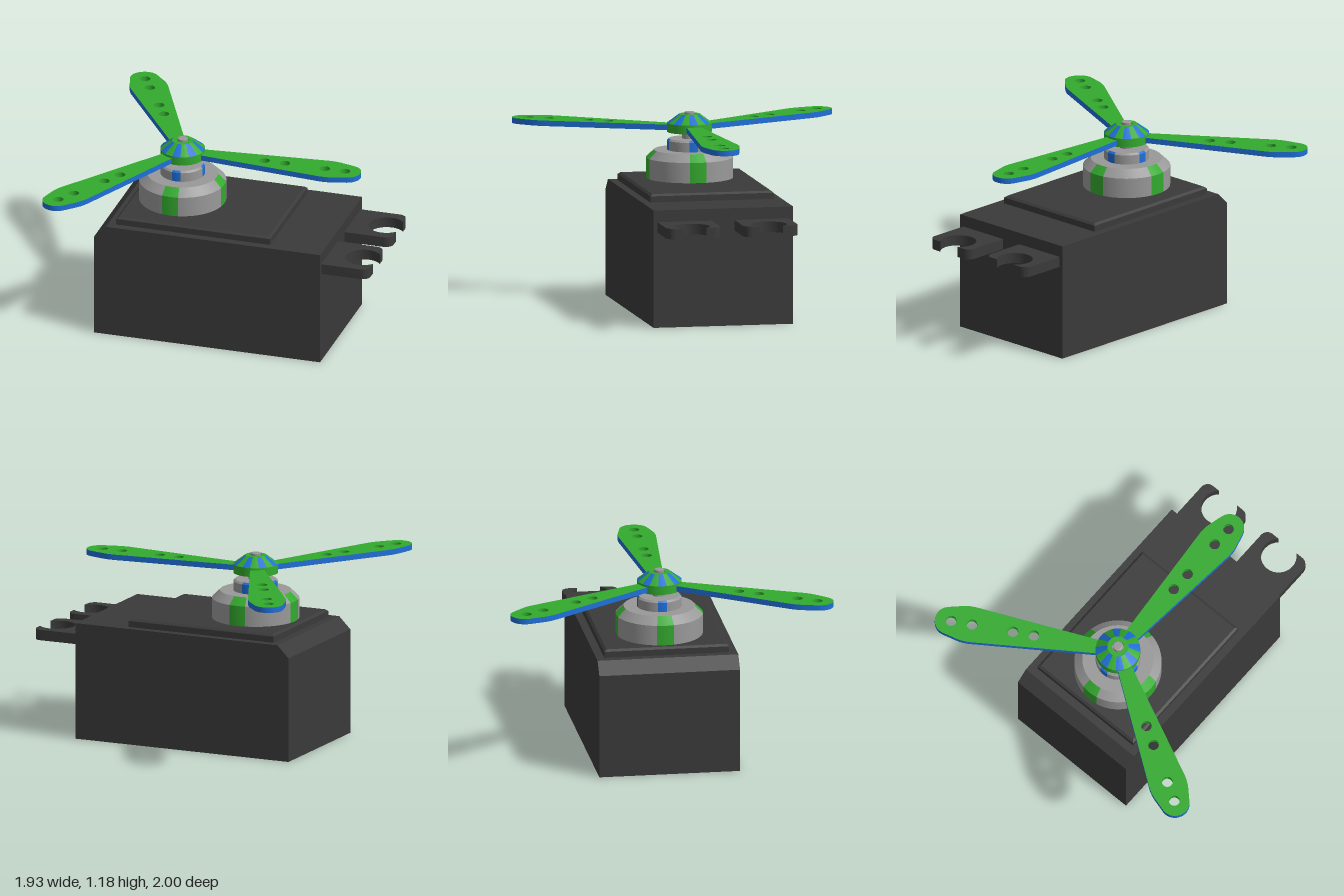
import * as THREE from 'three';
import { toCreasedNormals } from 'three/addons/utils/BufferGeometryUtils.js';

const BODY = 0x3a3a3a, METAL = 0x999999, GREEN = 0x33aa2e, BLUE = 0x1f6fd8;
const AXIS_X = -0.353;
const STEP = Math.PI / 8; // width of one coloured wedge

function add(parent, name, geometry, color) {
  const mesh = new THREE.Mesh(geometry, new THREE.MeshStandardMaterial({ color }));
  mesh.name = name;
  parent.add(mesh);
  return mesh;
}

// Turned part (or a wedge of one) from [radius, height] pairs, bottom to top
function turned(profile, start = 0, length = Math.PI * 2) {
  const segments = Math.max(4, Math.round(length / STEP * 4));
  const points = profile.map(([r, y]) => new THREE.Vector2(r, y));
  return toCreasedNormals(new THREE.LatheGeometry(points, segments, start, length), 0.4);
}

// Flat shape lying in the xz plane, extruded upwards from y = 0
function slab(shape, depth, options = {}) {
  const geometry = new THREE.ExtrudeGeometry(shape, { depth, bevelEnabled: false, curveSegments: 12, ...options });
  return geometry.rotateX(-Math.PI / 2);
}

// Unindexed triangles of a geometry between the given vertex ranges
function pick(geometry, ...ranges) {
  const source = geometry.attributes.position.array;
  const values = ranges.flatMap(([a, b]) => Array.from(source.subarray(a * 3, b * 3)));
  const result = new THREE.BufferGeometry();
  result.setAttribute('position', new THREE.Float32BufferAttribute(values, 3));
  result.computeVertexNormals();
  return toCreasedNormals(result, 0.4);
}

function polygon(points) {
  return new THREE.Shape(points.map(([x, y]) => new THREE.Vector2(x, y)));
}

function addHousing(model) {
  // Case with one chamfered top edge
  const side = polygon([[-0.785, 0], [0.66, 0], [0.66, 0.725], [-0.71, 0.725], [-0.785, 0.65]]);
  const box = new THREE.ExtrudeGeometry(side, { depth: 0.87, bevelEnabled: false });
  add(model, 'case', box.translate(0, 0, -0.435), BODY);

  // Raised lid with a small bevel
  const lid = polygon([[-0.645, -0.37], [0.31, -0.37], [0.31, 0.37], [-0.645, 0.37]]);
  const bevel = { bevelEnabled: true, bevelSize: 0.015, bevelThickness: 0.012, bevelSegments: 1 };
  add(model, 'lid', slab(lid, 0.05, bevel), BODY).position.y = 0.713;

  // Mounting ears with open round slots
  const ear = new THREE.Shape();
  const opening = Math.asin(0.072 / 0.11), r = 0.05;
  ear.moveTo(0.65, -0.17);
  ear.lineTo(0.96 - r, -0.17);
  ear.absarc(0.96 - r, -0.17 + r, r, -Math.PI / 2, 0, false);
  ear.lineTo(0.96, -0.072);
  ear.absarc(0.877, 0, 0.11, -opening, opening, true);
  ear.lineTo(0.96, 0.17 - r);
  ear.absarc(0.96 - r, 0.17 - r, r, 0, Math.PI / 2, false);
  ear.lineTo(0.65, 0.17);
  for (const z of [-0.24, 0.24]) {
    add(model, 'mountingEar', toCreasedNormals(slab(ear, 0.065), 0.4), BODY).position.set(0, 0.587, z);
  }
}

// Turned stage whose wall carries four coloured marks
function addStage(parent, name, wall, color) {
  for (let i = 0; i < 4; i++) {
    const mid = i * Math.PI / 2;
    add(parent, name + 'Mark', turned(wall, mid - STEP / 2, STEP), color);
    add(parent, name + 'Wall', turned(wall, mid + STEP / 2, STEP * 3), METAL);
  }
  const [r, y] = wall[wall.length - 1];
  add(parent, name + 'Top', turned([[r, y], [0, y]]), METAL);
}

function addHub(parent) {
  add(parent, 'hubRing', turned([[0.045, 1.057], [0.137, 1.057], [0.137, 1.112]]), GREEN);
  for (let i = 0; i < 16; i++) {
    const wedge = turned([[0.137, 1.112], [0.065, 1.166]], (i - 0.5) * STEP, STEP);
    add(parent, 'hubWedge', wedge, i % 2 ? GREEN : BLUE);
  }
  add(parent, 'hubCap', turned([[0.065, 1.166], [0.036, 1.166], [0.036, 1.15]]), GREEN);
  add(parent, 'shaft', turned([[0.045, 1.0], [0.045, 1.15], [0.031, 1.15], [0.031, 1.178], [0.024, 1.181], [0, 1.181]]), METAL);
}

// Arm pointing along +x: green faces and holes, blue rim
function addArms(parent) {
  const shape = new THREE.Shape();
  shape.moveTo(0.1, -0.042);
  shape.lineTo(0.9, -0.115);
  shape.quadraticCurveTo(0.95, -0.118, 0.99, -0.107);
  shape.lineTo(1.075, -0.085);
  shape.bezierCurveTo(1.159, -0.06, 1.159, 0.06, 1.075, 0.085);
  shape.lineTo(0.99, 0.107);
  shape.quadraticCurveTo(0.95, 0.118, 0.9, 0.115);
  shape.lineTo(0.1, 0.042);
  const sides = 24;
  const holes = [0.523, 0.653, 0.908, 1.038];
  for (const x of holes) {
    const points = Array.from({ length: sides }, (_, i) => {
      const a = -i / sides * Math.PI * 2;
      return new THREE.Vector2(x + 0.033 * Math.cos(a), 0.033 * Math.sin(a));
    });
    shape.holes.push(new THREE.Path(points));
  }
  const plate = slab(shape, 0.034);
  const total = plate.attributes.position.count;
  const caps = plate.groups[0].count;
  const holeStart = total - holes.length * sides * 6; // hole walls come last
  const faces = pick(plate, [0, caps], [holeStart, total]);
  const rim = pick(plate, [caps, holeStart]);
  for (let i = 0; i < 3; i++) {
    const arm = new THREE.Group();
    arm.name = 'arm';
    arm.position.y = 1.065;
    arm.rotation.y = i * Math.PI * 2 / 3;
    add(arm, 'armFaces', faces, GREEN);
    add(arm, 'armRim', rim, BLUE);
    parent.add(arm);
  }
}

export function createModel() {
  const model = new THREE.Group();
  model.name = 'servo';
  addHousing(model);

  const output = new THREE.Group();
  output.name = 'outputDrive';
  output.position.x = AXIS_X;
  model.add(output);
  addStage(output, 'lowerStage', [[0.267, 0.77], [0.267, 0.9], [0.218, 0.947]], GREEN);
  addStage(output, 'upperStage', [[0.137, 0.945], [0.137, 1.005], [0.126, 1.016]], BLUE);
  addHub(output);
  addArms(output);
  return model;
}
